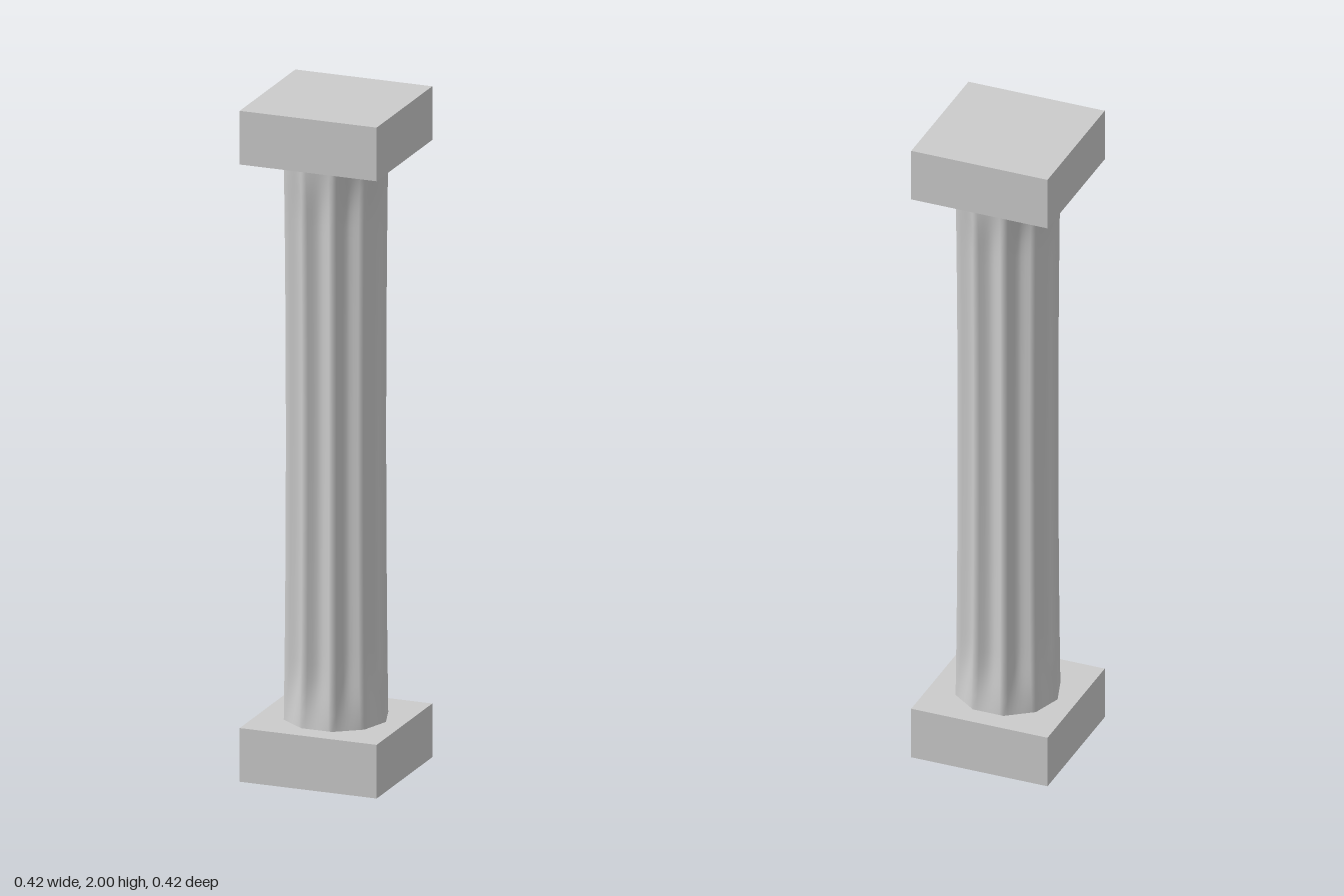
import * as THREE from 'three';
import { mergeVertices } from 'three/addons/utils/BufferGeometryUtils.js';

const FLUTES = 10;
const SHAFT_HEIGHT = 1.68;
const BLOCK_HEIGHT = 0.16;
const BLOCK_WIDTH = 0.42;

// Ten-sided shaft whose flat ends run into concave flutes, with a slight waist
function fluteShaft() {
  let geometry = new THREE.CylinderGeometry(1, 1, SHAFT_HEIGHT, FLUTES * 8, 36, true);
  geometry.deleteAttribute('uv');
  geometry.deleteAttribute('normal');
  const p = geometry.attributes.position;
  const step = (Math.PI * 2) / FLUTES;
  for (let i = 0; i < p.count; i++) {
    const angle = Math.atan2(p.getZ(i), p.getX(i));
    const y = p.getY(i);
    const t = (((angle / step) % 1) + 1) % 1;
    const fromEnd = SHAFT_HEIGHT / 2 - Math.abs(y);
    const ridge = 0.147 + 0.006 * Math.pow((2 * y) / SHAFT_HEIGHT, 2);
    const chord = (ridge * Math.cos(step / 2)) / Math.cos((t - 0.5) * step);
    const depth = 0.021 * THREE.MathUtils.smoothstep(fromEnd, -0.06, 0.17)
      - 0.021 * THREE.MathUtils.smoothstep(0, -0.06, 0.17) * Math.max(0, 1 - fromEnd / 0.17);
    const r = chord - depth * Math.sin(Math.PI * t);
    p.setXYZ(i, Math.cos(angle) * r, y, Math.sin(angle) * r);
  }
  geometry = mergeVertices(geometry);
  geometry.computeVertexNormals();
  return geometry;
}

export function createModel() {
  const model = new THREE.Group();
  model.name = 'column';
  const material = new THREE.MeshStandardMaterial({ color: 0xcccccc });

  const add = (name, geometry, y) => {
    const mesh = new THREE.Mesh(geometry, material);
    mesh.name = name;
    mesh.position.y = y;
    model.add(mesh);
  };

  // Square blocks below and above the shaft
  const block = new THREE.BoxGeometry(BLOCK_WIDTH, BLOCK_HEIGHT, BLOCK_WIDTH);
  add('base', block, BLOCK_HEIGHT / 2);
  add('shaft', fluteShaft(), 1);
  add('capital', block, 2 - BLOCK_HEIGHT / 2);

  return model;
}
